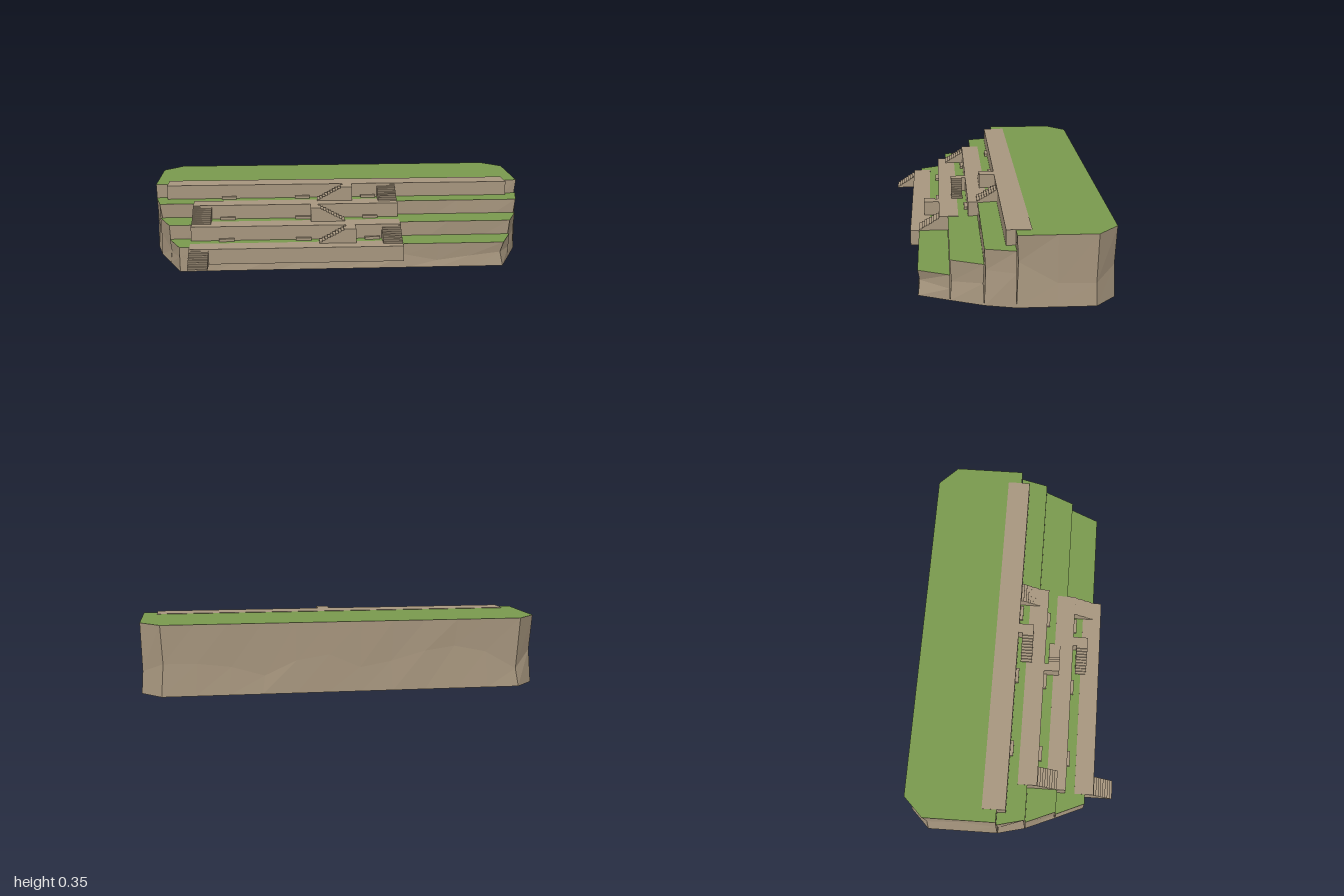
import * as THREE from 'three';

export function createModel() {
  const model = new THREE.Group();
  model.name = 'terracedHill';
  const stone = new THREE.MeshStandardMaterial({ color: 0xa8977f, flatShading: true });
  stone.name = 'stone';
  const grass = new THREE.MeshStandardMaterial({ color: 0x7a9a4e, flatShading: true });
  grass.name = 'grass';

  let seed = 7;
  const rand = () => (seed = (seed * 16807) % 2147483647) / 2147483647;

  const add = (name, geometry, material, parent = model) => {
    const mesh = new THREE.Mesh(geometry, material);
    mesh.name = name;
    parent.add(mesh);
    return mesh;
  };

  const box = (name, x0, x1, y0, y1, z0, z1) => {
    const g = new THREE.BoxGeometry(x1 - x0, y1 - y0, z1 - z0);
    g.translate((x0 + x1) / 2, (y0 + y1) / 2, (z0 + z1) / 2);
    return add(name, g, stone);
  };

  // Rock block: outline [x, z] counter-clockwise from above, rough in its middle rows
  function rockTier(name, outline, top) {
    const pts = [];
    outline.forEach((a, i) => {
      const b = outline[(i + 1) % outline.length];
      const n = Math.max(1, Math.round(Math.hypot(b[0] - a[0], b[1] - a[1]) / 0.16));
      for (let k = 0; k < n; k++) {
        pts.push([a[0] + (b[0] - a[0]) * k / n, a[1] + (b[1] - a[1]) * k / n]);
      }
    });
    const midZ = outline.reduce((s, p) => s + p[1], 0) / outline.length;
    const rows = [0, 0.45, 1].map((t) => pts.map(([x, z]) => {
      const rough = t === 0.45 ? 0.016 * rand() : 0;
      const lift = t === 0.45 ? (rand() - 0.5) * 0.4 : 0;
      return [x - Math.sign(x) * rough, (t + lift) * top, z - Math.sign(z - midZ) * rough * 0.6];
    }));
    const pos = [];
    const N = pts.length;
    for (let r = 0; r < 2; r++) {
      for (let i = 0; i < N; i++) {
        const j = (i + 1) % N;
        const a = rows[r][i], b = rows[r][j], c = rows[r + 1][j], d = rows[r + 1][i];
        pos.push(...a, ...b, ...c, ...a, ...c, ...d);
      }
    }
    const sides = new THREE.BufferGeometry();
    sides.setAttribute('position', new THREE.Float32BufferAttribute(pos, 3));
    sides.computeVertexNormals();
    const group = new THREE.Group();
    group.name = name;
    model.add(group);
    add('rockFace', sides, stone, group);

    const shape = new THREE.Shape(outline.map(([x, z]) => new THREE.Vector2(x, -z)));
    const lawn = new THREE.ShapeGeometry(shape);
    lawn.rotateX(-Math.PI / 2);
    lawn.translate(0, top, 0);
    add('lawn', lawn, grass, group);
    const base = new THREE.ShapeGeometry(new THREE.Shape(outline.map(([x, z]) => new THREE.Vector2(x, z))));
    base.rotateX(Math.PI / 2);
    add('underside', base, stone, group);
  }

  const slab = (xb, zb, xf, zf) => [[-xf, zf], [xf, zf], [xb, zb], [-xb, zb]];
  rockTier('lowestTier', slab(0.9, 0.235, 0.835, 0.385), 0.128);
  rockTier('secondTier', slab(0.965, 0.08, 0.9, 0.235), 0.203);
  rockTier('thirdTier', slab(1, -0.065, 0.965, 0.08), 0.278);
  rockTier('topTier', [[-1, -0.065], [1, -0.065], [1, -0.435], [0.9, -0.535],
    [-0.9, -0.535], [-1, -0.435]], 0.353);

  // Solid flight of steps rising along +x of its profile, before being turned
  function flight(run, rise, width, steps) {
    const s = new THREE.Shape();
    s.moveTo(0, 0);
    for (let i = 0; i < steps; i++) {
      s.lineTo(run * i / steps, rise * (i + 1) / steps);
      s.lineTo(run * (i + 1) / steps, rise * (i + 1) / steps);
    }
    s.lineTo(run, 0);
    return new THREE.ExtrudeGeometry(s, { depth: width, bevelEnabled: false });
  }

  // Retaining walls
  box('lowestWall', -0.785, 0.31, 0.05, 0.13, 0.33, 0.43);
  box('secondWall', -0.785, 0.31, 0.13, 0.205, 0.18, 0.28);
  box('thirdWall', -0.785, 0.31, 0.205, 0.28, 0.03, 0.13);
  box('topWall', -0.935, 0.93, 0.28, 0.355, -0.14, -0.02);

  // Straight stairs climbing towards the back, alternating sides
  for (let i = 0; i < 4; i++) {
    const g = flight(0.125, i ? 0.075 : 0.08, 0.1, 10);
    g.rotateY(Math.PI / 2);
    g.translate(i % 2 ? 0.21 : -0.785, i ? 0.055 + 0.075 * i : 0.05, 0.533 - 0.15 * i);
    add('straightStair', g, stone);
  }

  // Zigzag stairs along the walls, each with a landing at its head
  for (let i = 0; i < 3; i++) {
    const y = 0.13 + 0.075 * i, wall = 0.28 - 0.15 * i;
    const g = flight(0.14, 0.075, 0.06, 10);
    if (i === 1) {
      g.rotateY(Math.PI);
      g.translate(0.02, y, wall + 0.08);
      box('landing', -0.16, -0.12, y, y + 0.075, wall, wall + 0.08);
    } else {
      g.translate(-0.12, y, wall + 0.02);
      box('landing', 0.02, 0.07, y, y + 0.075, wall, wall + 0.08);
    }
    add('sideStair', g, stone);
  }

  // Low benches at the foot of each wall
  for (let i = 0; i < 3; i++) {
    const y = 0.128 + 0.075 * i, z = 0.28 - 0.15 * i;
    for (const x of [-0.6, -0.2, 0.16]) box('bench', x - 0.04, x + 0.04, y, y + 0.014, z, z + 0.016);
  }
  return model;
}
